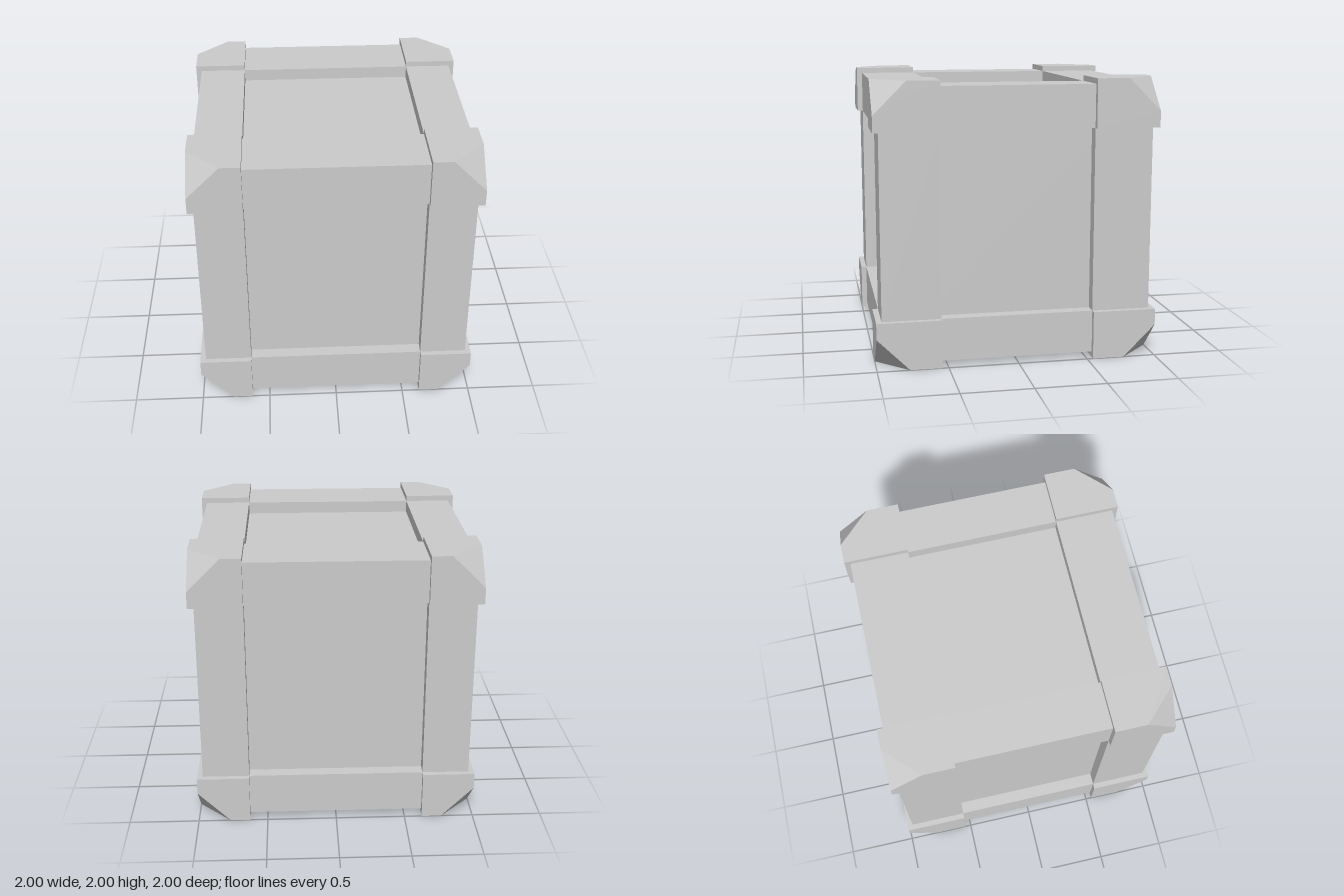
import * as THREE from 'three';
import { ConvexGeometry } from 'three/addons/geometries/ConvexGeometry.js';

const PANEL = 0.872;                 // half size of the recessed panel cube
const BEAM = 0.96;                   // outer face of the edge beams
const CUT = 0.77;                    // where the corner chamfer starts
const INNER = [0.627, 0.655, 0.543]; // inner edge of the frame on x, y, z

export function createModel() {
  const group = new THREE.Group();
  const material = new THREE.MeshStandardMaterial({ color: 0xcccccc, flatShading: true });
  const add = (name, geometry, x, y, z) => {
    const mesh = new THREE.Mesh(geometry, material);
    mesh.name = name;
    mesh.position.set(x, y + 1, z);
    group.add(mesh);
  };

  // recessed panels on all six sides
  add('panelCore', new THREE.BoxGeometry(2 * PANEL, 2 * PANEL, 2 * PANEL), 0, 0, 0);

  // four beams along each axis, running between the corner blocks
  const beamNames = ['crossBeam', 'cornerPost', 'sideBeam'];
  for (let axis = 0; axis < 3; axis++) {
    const size = INNER.map((v, i) => (i === axis ? 2 * v : BEAM - v));
    for (const a of [-1, 1]) for (const b of [-1, 1]) {
      const pos = [0, 0, 0];
      const u = (axis + 1) % 3, v = (axis + 2) % 3;
      pos[u] = a * (BEAM + INNER[u]) / 2;
      pos[v] = b * (BEAM + INNER[v]) / 2;
      add(beamNames[axis], new THREE.BoxGeometry(...size), ...pos);
    }
  }

  // corner blocks, each a box with its outer corner cut off
  const [ix, iy, iz] = INNER;
  const corners = [
    [ix, iy, iz], [1, iy, iz], [ix, 1, iz], [ix, iy, 1],
    [1, 1, iz], [1, iy, 1], [ix, 1, 1],
    [CUT, 1, 1], [1, CUT, 1], [1, 1, CUT],
  ];
  for (const sx of [-1, 1]) for (const sy of [-1, 1]) for (const sz of [-1, 1]) {
    const points = corners.map(([x, y, z]) => new THREE.Vector3(sx * x, sy * y, sz * z));
    add('cornerBlock', new ConvexGeometry(points), 0, 0, 0);
  }
  return group;
}
